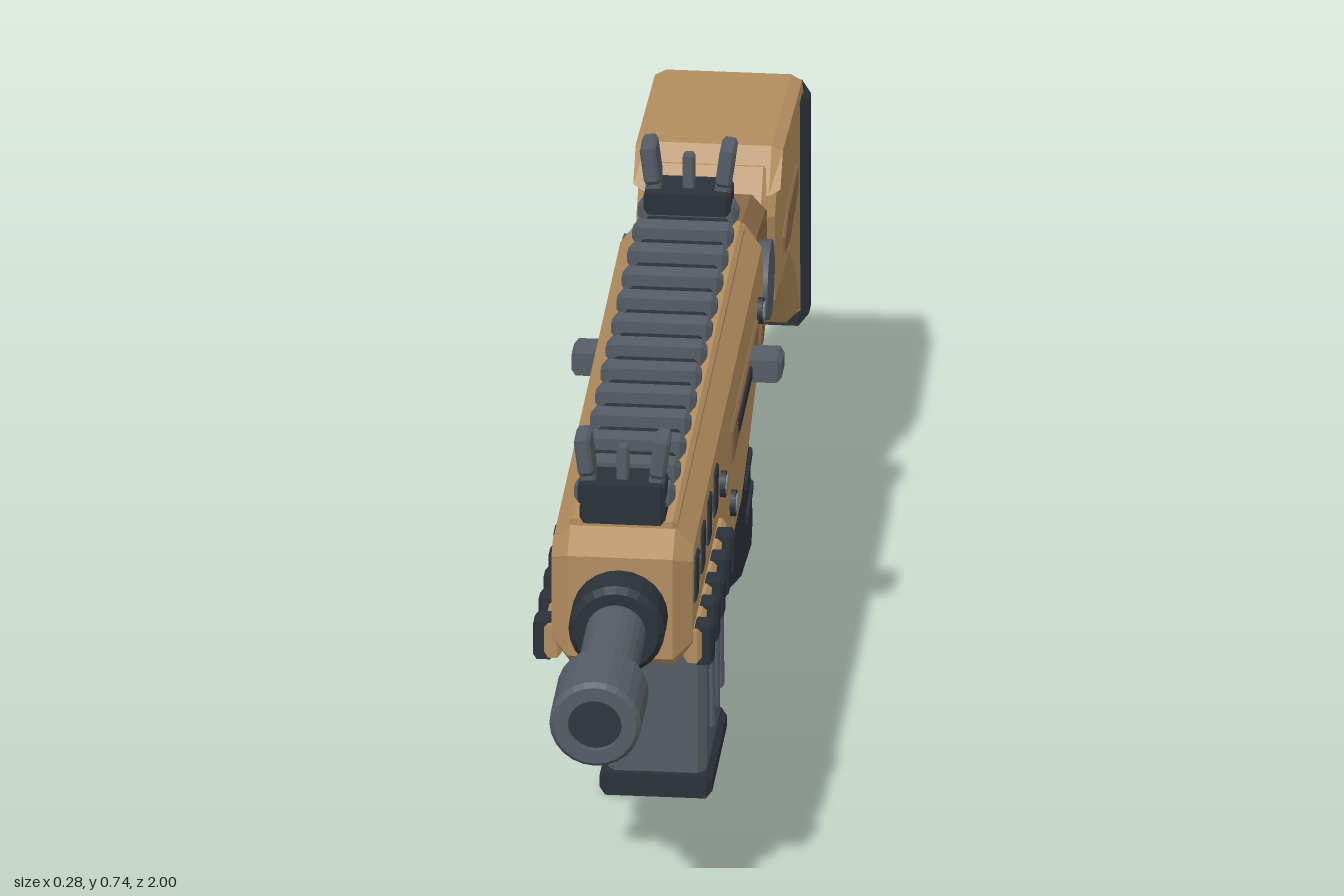
import * as THREE from 'three';

const paint = (name, color) => Object.assign(new THREE.MeshStandardMaterial({ color }), { name });

export function createModel() {
  const tan = paint('tan', 0xb48f5f), brown = paint('brown', 0x8c6b4a), grey = paint('grey', 0x565d66);
  const dark = paint('charcoal', 0x2b3239), bore = paint('bore', 0x30373e), light = paint('lightGrey', 0x7b838b);
  const model = new THREE.Group();
  model.name = 'carbine';

  const add = (name, geo, mat, x = 0, y = 0, z = 0) => {
    const m = new THREE.Mesh(geo, mat);
    m.name = name;
    m.position.set(x, y, z);
    model.add(m);
    return m;
  };
  // Side outline given as [z, y] points, extruded across x with a chamfer
  const slab = (name, pts, half, mat, bevel = 0.015, depth = bevel, x = 0) => {
    const shape = new THREE.Shape(pts.map(([z, y]) => new THREE.Vector2(z, y)));
    const geo = new THREE.ExtrudeGeometry(shape, {
      depth: 2 * (half - depth), bevelEnabled: bevel > 0, bevelSize: bevel,
      bevelThickness: depth, bevelOffset: -bevel, bevelSegments: 1,
    });
    geo.translate(0, 0, -(half - depth)).rotateY(-Math.PI / 2);
    return add(name, geo, mat, x);
  };
  // Chamfered block from its z and y limits
  const block = (name, z0, z1, y0, y1, half, mat, bevel = 0.006, x = 0) =>
    slab(name, [[z0, y0], [z1, y0], [z1, y1], [z0, y1]], half, mat, bevel, bevel, x);
  // Round part along z, from [radius, z] points
  const turned = (name, pts, mat, sides = 24) => {
    const geo = new THREE.LatheGeometry(pts.map(([r, z]) => new THREE.Vector2(r, z)), sides)
      .rotateX(Math.PI / 2).toNonIndexed();
    geo.computeVertexNormals();
    return add(name, geo, mat, 0, 0.493, 0);
  };
  // Disc facing sideways
  const disc = (name, r, thick, sides, mat, x, y, z) =>
    add(name, new THREE.CylinderGeometry(r, r, thick, sides).rotateZ(Math.PI / 2).toNonIndexed(), mat, x, y, z);

  // Receiver with handguard and magazine well
  slab('receiver', [[0.64, 0.43], [0.61, 0.41], [0.2, 0.41], [0.165, 0.385], [0.125, 0.31], [-0.09, 0.31],
    [-0.2, 0.345], [-0.375, 0.415], [-0.42, 0.45], [-0.42, 0.565], [-0.385, 0.602], [0.6, 0.602], [0.64, 0.575]],
    0.094, tan, 0.028, 0.024);
  block('topStrip', -0.37, 0.6, 0.585, 0.612, 0.072, tan);

  // Barrel, collar and muzzle
  turned('barrelCollar', [[0, 0.6], [0.064, 0.6], [0.064, 0.69], [0.056, 0.7], [0, 0.7]], dark);
  turned('barrel', [[0.04, 0.66], [0.04, 0.9]], grey);
  turned('muzzle', [[0.03, 0.878], [0.055, 0.878], [0.061, 0.885], [0.061, 0.993], [0.055, 1], [0.036, 1], [0.036, 0.99]], grey);
  turned('bore', [[0.037, 0.991], [0, 0.991]], bore);

  // Top rail and its teeth
  block('railBase', -0.37, 0.61, 0.61, 0.638, 0.057, dark);
  for (let i = 0; i < 13; i++) {
    const z = -0.335 + i * 0.0755;
    block('railTooth', z - 0.015, z + 0.015, 0.628, 0.654, 0.067, grey, 0.007);
  }

  // Iron sights, front and rear
  for (const z of [0.598, -0.342]) {
    block('sightBase', z - 0.03, z + 0.03, 0.643, 0.674, 0.058, dark);
    block('sightPost', z - 0.009, z + 0.009, 0.665, 0.72, 0.008, grey, 0.003);
    for (const s of [-1, 1]) {
      const ear = slab('sightEar', [[-0.016, -0.04], [0.016, -0.04], [0.016, -0.02], [0.025, -0.012],
        [0.025, 0.036], [-0.025, 0.036], [-0.025, -0.012], [-0.016, -0.02]], 0.0105, grey, 0.004);
      ear.position.set(s * 0.049, 0.7, z);
      ear.rotation.z = -s * 0.13;
    }
  }

  // Details on both sides
  for (const s of [-1, 1]) {
    block('sideRail', 0.24, 0.605, 0.41, 0.457, 0.012, tan, 0.006, s * 0.093);
    for (let i = 0; i < 5; i++) {
      const z = 0.29 + i * 0.0725;
      block('sideRailTooth', z - 0.017, z + 0.017, 0.404, 0.459, 0.014, dark, 0.005, s * 0.106);
    }
    for (let i = 0; i < 4; i++) {
      const z = 0.3 + i * 0.091;
      slab('vent', [[z - 0.012, 0.495], [z + 0.024, 0.495], [z + 0.012, 0.553], [z - 0.024, 0.553]],
        0.004, dark, 0.002, 0.002, s * 0.094);
    }
    block('slotFrame', -0.285, 0.08, 0.463, 0.51, 0.0045, brown, 0.003, s * 0.094);
    block('handleSlot', -0.215, 0.012, 0.478, 0.498, 0.0045, dark, 0.002, s * 0.097);
    block('chargingHandle', -0.21, -0.16, 0.474, 0.506, 0.025, grey, 0.006, s * 0.115);
    for (const [z, y] of [[0.21, 0.493], [0.065, 0.4], [-0.322, 0.505]]) {
      disc('boltRing', 0.019, 0.014, 8, dark, s * 0.094, y, z);
      disc('boltHead', 0.013, 0.008, 6, light, s * 0.0995, y, z);
    }
    disc('hingeCap', 0.054, 0.03, 12, grey, s * 0.084, 0.49, -0.455);
    slab('stockInset', [[-0.69, 0.42], [-0.76, 0.408], [-0.88, 0.43], [-0.88, 0.468], [-0.73, 0.463], [-0.69, 0.445]],
      0.005, brown, 0.003, 0.003, s * 0.091);
    // Magazine ribs and grip ridges
    for (const z of [0.083, 0.018, -0.043])
      slab('magazineRib', [[z - 0.016, 0.08], [z - 0.002, 0.08], [z + 0.007, 0.2], [z + 0.007, 0.295], [z - 0.007, 0.295], [z - 0.007, 0.2]],
        0.006, grey, 0.003, 0.003, s * 0.068);
    for (let i = 0; i < 3; i++) {
      const z = -0.3 - i * 0.018, y = 0.3 - i * 0.056;
      slab('gripRidge', [[z, y], [z - 0.075, y + 0.018], [z - 0.075, y + 0.03], [z, y + 0.012]],
        0.005, dark, 0.002, 0.002, s * 0.075);
    }
  }

  // Magazine
  slab('magazine', [[0.127, 0.33], [-0.07, 0.33], [-0.083, 0.2], [-0.083, 0.025], [0.127, 0.025]], 0.067, grey, 0.012);
  block('magazineBase', -0.087, 0.135, 0, 0.033, 0.075, dark, 0.008);

  // Pistol grip
  slab('gripCollar', [[-0.165, 0.33], [-0.22, 0.31], [-0.405, 0.365], [-0.385, 0.42], [-0.2, 0.4]], 0.08, brown, 0.012);
  slab('grip', [[-0.225, 0.36], [-0.36, 0.38], [-0.392, 0.31], [-0.455, 0.15], [-0.428, 0.103], [-0.262, 0.125], [-0.215, 0.235]],
    0.076, dark, 0.016);

  // Trigger and guard
  const tube = (name, pts, r, mat) => add(name, new THREE.TubeGeometry(
    new THREE.CatmullRomCurve3(pts.map(([z, y]) => new THREE.Vector3(0, y, z))), 12, r, 6), mat);
  tube('trigger', [[-0.115, 0.34], [-0.1, 0.305], [-0.115, 0.28], [-0.155, 0.272]], 0.009, light);
  tube('triggerGuard', [[-0.07, 0.19], [-0.15, 0.183], [-0.2, 0.198], [-0.24, 0.22]], 0.016, dark);

  // Hinge joining the stock
  slab('hinge', [[-0.36, 0.44], [-0.43, 0.37], [-0.53, 0.345], [-0.62, 0.39], [-0.62, 0.535], [-0.56, 0.565],
    [-0.43, 0.583], [-0.36, 0.55]], 0.082, brown, 0.02);

  // Stock, cheek rest and butt pad
  slab('stock', [[-0.57, 0.385], [-0.565, 0.53], [-0.61, 0.583], [-0.9, 0.575], [-0.96, 0.53], [-0.96, 0.205],
    [-0.935, 0.21], [-0.84, 0.32], [-0.78, 0.365]], 0.092, tan, 0.018);
  slab('cheekRest', [[-0.59, 0.55], [-0.63, 0.605], [-0.91, 0.583], [-0.935, 0.545], [-0.9, 0.55], [-0.62, 0.565]],
    0.098, tan, 0.007, 0.015);
  block('buttPad', -1, -0.948, 0.2, 0.535, 0.102, dark, 0.013);

  return model;
}
